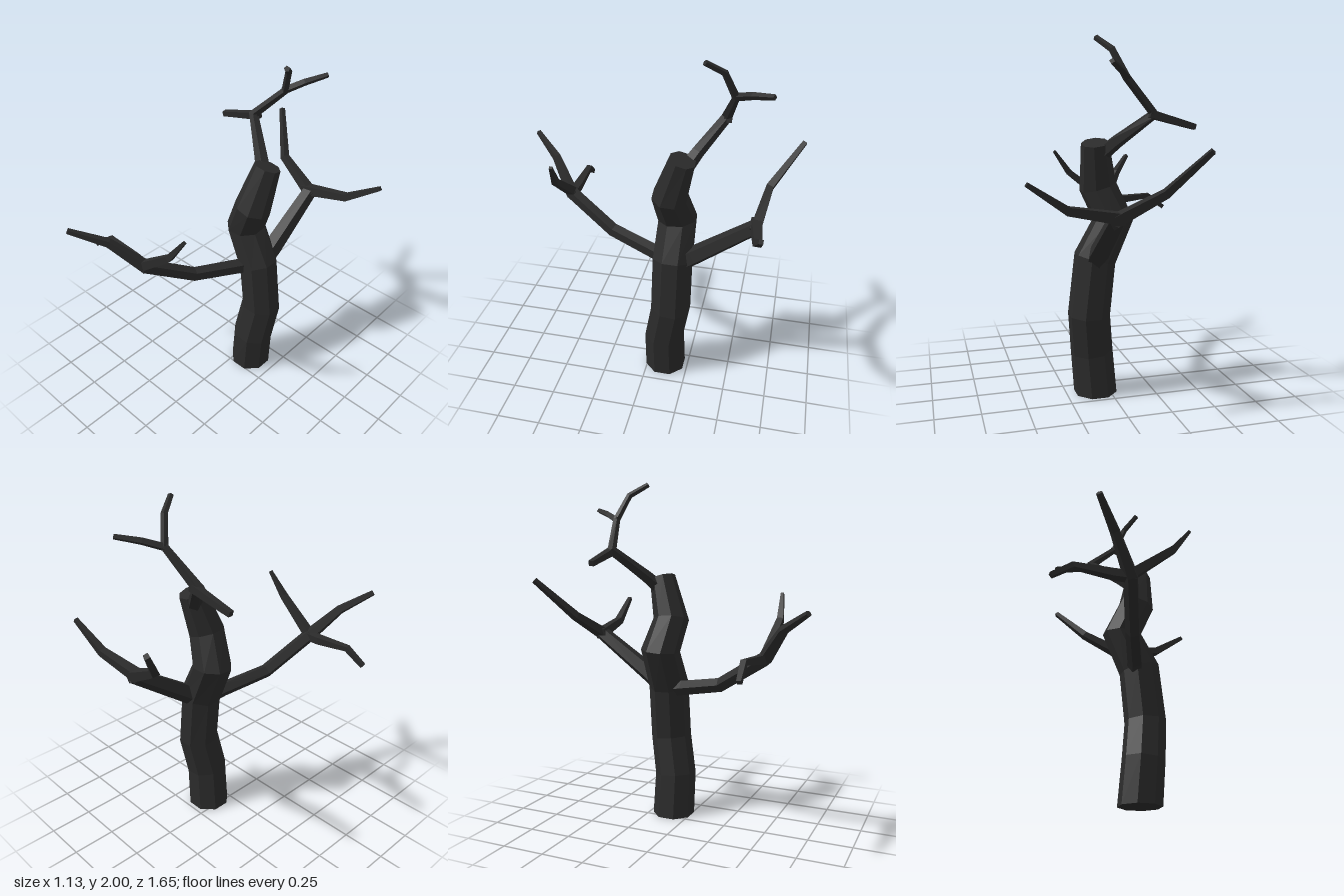
import * as THREE from 'three';

const bark = new THREE.MeshStandardMaterial({ color: 0x2b2b2b, flatShading: true });

// Lofts a faceted limb through rings given as [x, y, z, radius], capped at both ends.
function limb(name, sides, rings, startDir) {
  const centres = rings.map(([x, y, z]) => new THREE.Vector3(x, y, z));
  const last = rings.length - 1;
  const positions = [];
  const indices = [];
  const q = new THREE.Quaternion();
  let prev = new THREE.Vector3(0, 1, 0);

  centres.forEach((c, i) => {
    // Ring plane bisects the bend between neighbouring segments
    const dir = new THREE.Vector3();
    if (i > 0) dir.add(c.clone().sub(centres[i - 1]).normalize());
    if (i < last) dir.add(centres[i + 1].clone().sub(c).normalize());
    dir.normalize();
    if (i === 0 && startDir) dir.copy(startDir);
    q.premultiply(new THREE.Quaternion().setFromUnitVectors(prev, dir));
    prev = dir;
    for (let s = 0; s < sides; s++) {
      const a = ((s + 0.5) / sides) * Math.PI * 2;
      const p = new THREE.Vector3(Math.sin(a), 0, Math.cos(a)).multiplyScalar(rings[i][3]);
      p.applyQuaternion(q).add(c);
      positions.push(p.x, p.y, p.z);
    }
  });

  for (let i = 0; i < last; i++) {
    for (let s = 0; s < sides; s++) {
      const a = i * sides + s;
      const b = i * sides + ((s + 1) % sides);
      indices.push(a, b, b + sides, a, b + sides, a + sides);
    }
  }
  // End caps
  const top = last * sides;
  for (let s = 1; s < sides - 1; s++) {
    indices.push(0, s + 1, s, top, top + s, top + s + 1);
  }

  const geometry = new THREE.BufferGeometry();
  geometry.setAttribute('position', new THREE.Float32BufferAttribute(positions, 3));
  geometry.setIndex(indices);
  const flat = geometry.toNonIndexed();
  flat.computeVertexNormals();
  const mesh = new THREE.Mesh(flat, bark);
  mesh.name = name;
  return mesh;
}

function bough(name, ...parts) {
  const group = new THREE.Group();
  group.name = name;
  group.add(...parts);
  return group;
}

export function createModel() {
  const tree = new THREE.Group();
  tree.name = 'bareTree';

  // Crooked trunk, broken off at the top
  tree.add(limb('trunk', 8, [
    [0.08, 0, -0.11, 0.125],
    [0.1, 0.25, -0.105, 0.122],
    [0.125, 0.48, -0.145, 0.12],
    [0.09, 0.8, -0.145, 0.119],
    [-0.015, 1.02, -0.15, 0.115],
    [0.065, 1.2, -0.117, 0.105],
    [0.1, 1.445, -0.19, 0.076],
  ], new THREE.Vector3(0, 1, 0)));

  // Long bough reaching forward, forking in three
  tree.add(bough('frontBough',
    limb('frontBranch', 5, [
      [0.06, 0.78, -0.12, 0.05],
      [0.03, 0.8, -0.02, 0.045],
      [-0.06, 0.855, 0.25, 0.042],
      [-0.15, 1.03, 0.53, 0.042],
      [-0.27, 1.2, 0.66, 0.028],
      [-0.39, 1.3, 0.815, 0.017],
    ]),
    limb('frontRightTwig', 4, [
      [-0.12, 1.03, 0.53, 0.035],
      [-0.24, 1.035, 0.52, 0.033],
      [-0.45, 1.055, 0.515, 0.022],
      [-0.56, 0.975, 0.53, 0.018],
    ]),
    limb('frontLeftTwig', 4, [
      [-0.16, 1.03, 0.53, 0.036],
      [0.08, 1.22, 0.545, 0.025],
      [0.18, 1.36, 0.525, 0.012],
    ]),
  ));

  // Bough reaching back, forking to both sides
  tree.add(bough('backBough',
    limb('backBranch', 5, [
      [0.09, 0.76, -0.15, 0.06],
      [0.1, 0.85, -0.27, 0.058],
      [0.1, 1.09, -0.61, 0.045],
    ]),
    limb('backRightTwig', 4, [
      [0.13, 1.07, -0.6, 0.042],
      [-0.14, 1.215, -0.65, 0.029],
      [-0.31, 1.43, -0.815, 0.018],
    ]),
    limb('backLeftTwig', 4, [
      [0.06, 1.09, -0.6, 0.042],
      [0.35, 1.145, -0.63, 0.03],
      [0.55, 1.28, -0.655, 0.016],
    ]),
  ));

  // Thin bough rising from the broken top
  tree.add(bough('topBough',
    limb('topBranch', 5, [
      [0.08, 1.37, -0.19, 0.045],
      [0.0, 1.45, -0.25, 0.038],
      [-0.17, 1.6, -0.38, 0.032],
      [0.0, 1.78, -0.44, 0.022],
      [0.06, 1.92, -0.385, 0.019],
      [0.12, 1.985, -0.29, 0.016],
    ]),
    limb('topRightTwig', 4, [
      [-0.14, 1.6, -0.39, 0.03],
      [-0.4, 1.53, -0.375, 0.021],
    ]),
    limb('topBackTwig', 4, [
      [-0.01, 1.775, -0.43, 0.022],
      [0.06, 1.815, -0.53, 0.02],
      [0.135, 1.845, -0.64, 0.015],
    ]),
  ));

  return tree;
}
